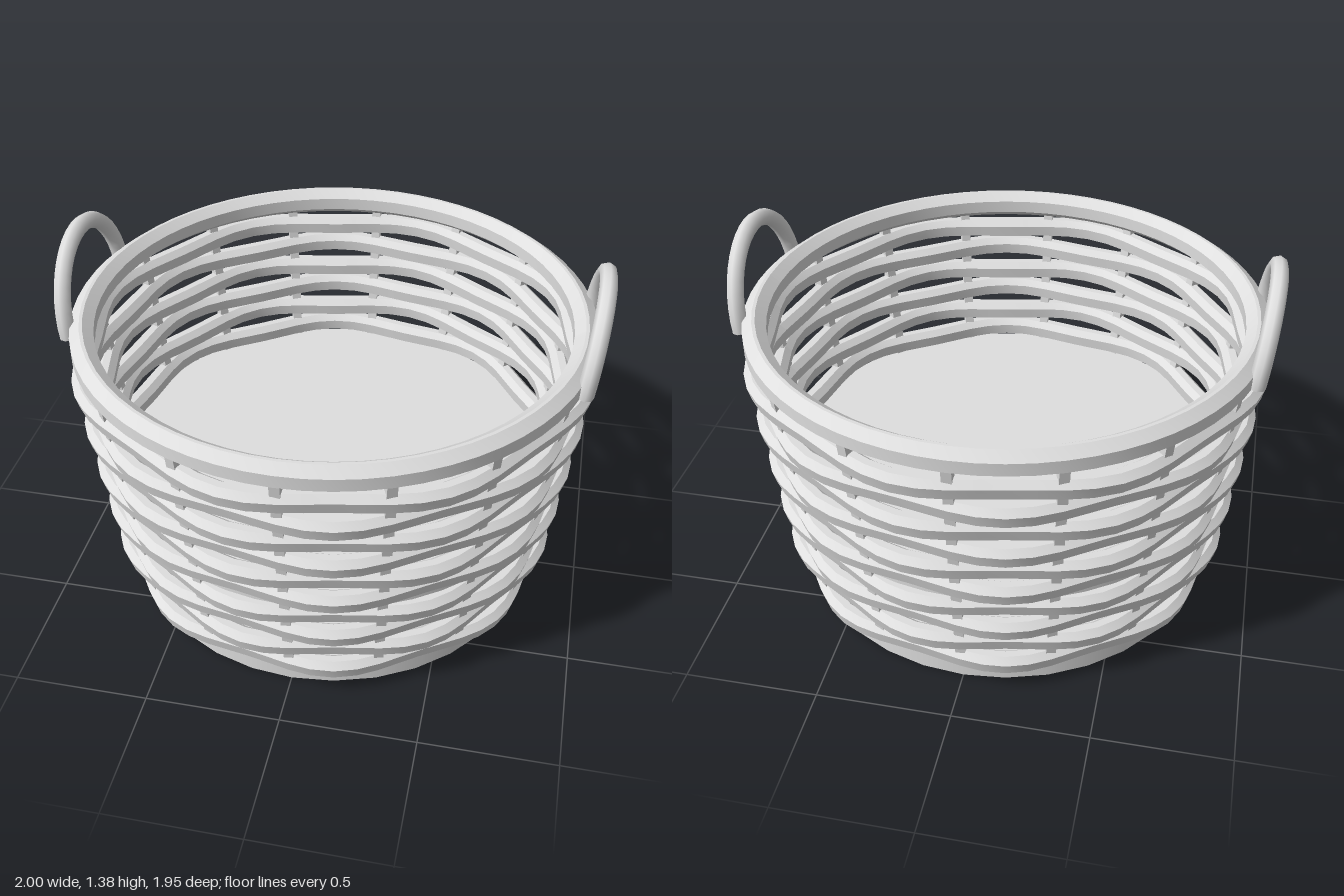
import * as THREE from 'three';

const POSTS = 16, ROWS = 10, STEPS = 64;
const wallRadius = y => 0.799 + 0.13 * y;   // wall flares outward with height

// Cross-sections as [radial, vertical] offsets, anticlockwise
const STRAND = [
  [0.026, -0.032], [0.038, 0.014], [0.014, 0.038], [-0.014, 0.038],
  [-0.038, 0.016], [-0.034, -0.028], [-0.012, -0.038], [0.012, -0.038],
];
const RIM = [
  [0.044, -0.024], [0.044, 0.024], [0.006, 0.053],
  [-0.006, 0.053], [-0.044, 0.024], [-0.044, -0.024], [-0.006, -0.053], [0.006, -0.053],
];

// Sweep a section round a ring; wave swings it in and out between the posts
function ringGeometry(section, radius, wave) {
  const pos = [], idx = [];
  section.forEach((a, i) => {
    const b = section[(i + 1) % section.length];
    const start = pos.length / 3;
    for (let s = 0; s <= STEPS; s++) {
      const t = (s / STEPS) * Math.PI * 2;
      const r = radius + wave * Math.sin(t * POSTS / 2);
      for (const [dr, dy] of [a, b]) {
        pos.push((r + dr) * Math.cos(t), dy, (r + dr) * Math.sin(t));
      }
      if (s < STEPS) {
        const k = start + s * 2;
        idx.push(k, k + 1, k + 3, k, k + 3, k + 2);
      }
    }
  });
  const g = new THREE.BufferGeometry();
  g.setAttribute('position', new THREE.Float32BufferAttribute(pos, 3));
  g.setIndex(idx);
  g.computeVertexNormals();
  return g;
}

export function createModel() {
  const model = new THREE.Group();
  model.name = 'basket';
  const wicker = new THREE.MeshStandardMaterial({ color: 0xdedede });
  wicker.name = 'pale grey wicker';

  const add = (parent, name, geometry) => {
    const mesh = new THREE.Mesh(geometry, wicker);
    mesh.name = name;
    parent.add(mesh);
    return mesh;
  };

  // Round foot, and the raised floor partway up the wall
  add(model, 'base', new THREE.CylinderGeometry(0.798, 0.798, 0.09, 32)).position.y = 0.045;
  add(model, 'floor', new THREE.CylinderGeometry(0.862, 0.862, 0.03, 48)).position.y = 0.452;

  // Woven strands, alternating in and out row by row
  const strands = new THREE.Group();
  strands.name = 'strands';
  model.add(strands);
  for (let i = 0; i < ROWS; i++) {
    const y = 0.122 + i * 0.0957;
    const wave = i % 2 ? 0.02 : -0.02;
    add(strands, 'strand' + (i + 1), ringGeometry(STRAND, wallRadius(y), wave)).position.y = y;
  }

  // Leaning upright posts
  const posts = new THREE.Group();
  posts.name = 'posts';
  model.add(posts);
  for (let i = 0; i < POSTS; i++) {
    const arm = new THREE.Group();
    arm.name = 'postArm' + (i + 1);
    arm.rotation.y = (i / POSTS) * Math.PI * 2;
    const post = add(arm, 'post', new THREE.BoxGeometry(0.036, 0.97, 0.036));
    post.position.set(wallRadius(0.585), 0.585, 0);
    post.rotation.z = -Math.atan(0.13);
    posts.add(arm);
  }

  // Bevelled rim
  add(model, 'rim', ringGeometry(RIM, 0.922, 0)).position.y = 1.092;

  // Two arched handles leaning outward, with closed ends
  for (const side of [1, -1]) {
    const handle = new THREE.Group();
    handle.name = side > 0 ? 'leftHandle' : 'rightHandle';
    handle.position.set(side * 0.931, 1.066, 0);
    handle.rotation.z = -side * 0.13;
    const arch = new THREE.TorusGeometry(0.289, 0.032, 8, 20, Math.PI);
    add(handle, 'arch', arch.rotateY(Math.PI / 2));
    for (const end of [1, -1]) {
      const cap = add(handle, 'handleEnd', new THREE.CircleGeometry(0.032, 8));
      cap.rotation.x = Math.PI / 2;
      cap.position.z = end * 0.289;
    }
    model.add(handle);
  }

  return model;
}
